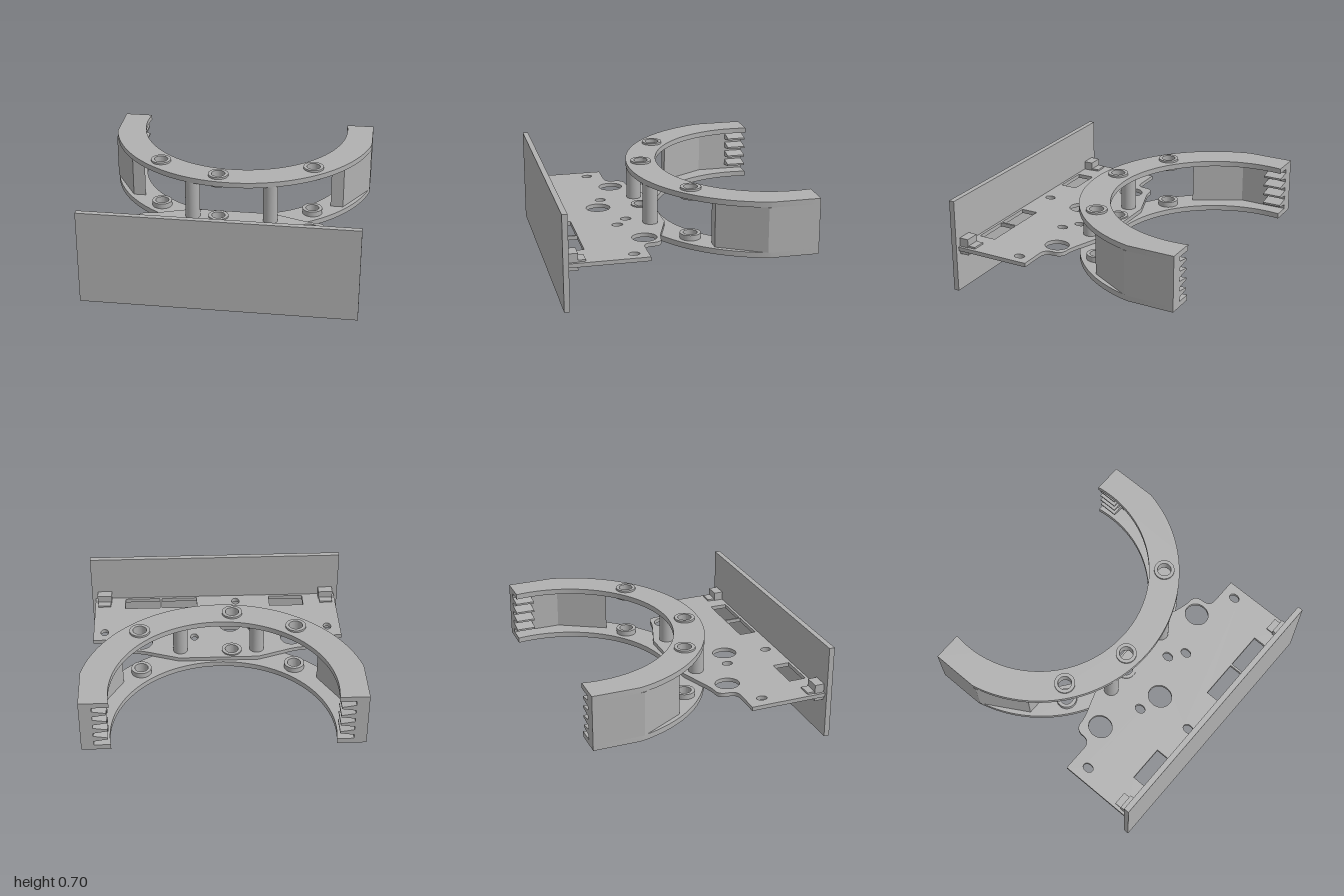
import * as THREE from 'three';
import { toCreasedNormals } from 'three/addons/utils/BufferGeometryUtils.js';

const grey = new THREE.MeshStandardMaterial({ color: 0xb0b0b0 });
grey.name = 'plain grey';

export function createModel() {
  const model = new THREE.Group();
  model.name = 'ringMount';

  const add = (name, geometry) => {
    const mesh = new THREE.Mesh(geometry, grey);
    mesh.name = name;
    model.add(mesh);
    return mesh;
  };
  const box = (name, x0, x1, y0, y1, z0, z1) =>
    add(name, new THREE.BoxGeometry(x1 - x0, y1 - y0, z1 - z0))
      .position.set((x0 + x1) / 2, (y0 + y1) / 2, (z0 + z1) / 2);

  // Horizontal slab from a plan outline drawn with (x, -z)
  const slab = (name, shape, y0, y1) => {
    const g = new THREE.ExtrudeGeometry(shape, { depth: y1 - y0, bevelEnabled: false, curveSegments: 48 });
    g.rotateX(-Math.PI / 2);
    g.translate(0, y0, 0);
    return add(name, toCreasedNormals(g, 0.5));
  };
  const oval = (x, z, rx, rz) => new THREE.Path().absellipse(x, -z, rx, rz, 0, Math.PI * 2, false, 0);
  const plan = (points) => new THREE.Shape(points.map(([x, z]) => new THREE.Vector2(x, -z)));

  // Two C-shaped ring plates
  const bushings = [[-0.56, -0.06], [-0.1, 0.13], [0.585, -0.08]];
  const ringShape = () => {
    const s = new THREE.Shape();
    const a = Math.asin(0.225 / 1.025), b = Math.asin(0.12 / 0.8);
    s.moveTo(-1, 0.9);
    s.lineTo(-1, 0.555);
    s.absarc(0, 0.78, 1.025, Math.PI + a, 2 * Math.PI - a, false);
    s.lineTo(1, 0.9);
    s.absarc(0, 0.78, 0.8, b, -Math.PI - b, true);
    s.closePath();
    bushings.forEach(([x, z]) => s.holes.push(oval(x, z, 0.05, 0.05)));
    return s;
  };
  slab('lowerRing', ringShape(), 0.27, 0.31);
  slab('upperRing', ringShape(), 0.64, 0.68);

  // Hollow bushings in both rings
  for (const [x, z] of bushings) {
    for (const [name, y0, y1] of [['lowerBushing', 0.31, 0.35], ['upperBushing', 0.615, 0.695]]) {
      const s = new THREE.Shape().absarc(x, -z, 0.075, 0, Math.PI * 2, false);
      s.holes.push(oval(x, z, 0.05, 0.05));
      slab(name, s, y0, y1);
    }
  }

  // Two posts between base plate and upper ring
  for (const x of [-0.29, 0.29]) {
    add('post', new THREE.CylinderGeometry(0.055, 0.055, 0.31, 40)).position.set(x, 0.488, 0.145);
  }

  for (const side of [-1, 1]) {
    // Bent side wall joining the ring ends
    slab('sideWall', plan([
      [1, -0.9], [1, -0.53], [0.81, -0.2], [0.716, -0.2], [0.91, -0.54], [0.91, -0.9],
    ].map(([x, z]) => [x * side, z])), 0.31, 0.64);

    // Four tapered teeth on the inside of each ring end
    for (let i = 0; i < 4; i++) {
      const y = 0.365 + i * 0.073;
      const s = new THREE.Shape([[0.915, -0.024], [0.915, 0.024], [0.81, 0.007], [0.81, -0.007]]
        .map(([x, dy]) => new THREE.Vector2(x * side, y + dy)));
      const tooth = new THREE.ExtrudeGeometry(s, { depth: 0.14, bevelEnabled: false });
      tooth.translate(0, 0, -0.9);
      add('gripTooth', tooth);
    }

    // Stepped clip that fixes the panel to the base plate
    const cx = side * 0.885;
    box('panelClip', cx - 0.056, cx + 0.056, 0.28, 0.405, 0.79, 0.86);
    box('clipTongue', cx - 0.05, cx + 0.05, 0.335, 0.353, 0.735, 0.79);
  }

  // Base plate with rounded shoulders and cut-outs
  const base = new THREE.Shape();
  base.moveTo(-0.96, -0.86);
  base.lineTo(0.96, -0.86);
  base.lineTo(0.96, -0.29);
  base.lineTo(0.76, -0.29);
  base.quadraticCurveTo(0.7, -0.285, 0.7, -0.22);
  base.quadraticCurveTo(0.7, -0.145, 0.63, -0.145);
  base.quadraticCurveTo(0.58, -0.14, 0.5, -0.11);
  base.lineTo(0.3, -0.04);
  base.lineTo(-0.3, -0.04);
  base.lineTo(-0.5, -0.11);
  base.quadraticCurveTo(-0.58, -0.14, -0.63, -0.145);
  base.quadraticCurveTo(-0.7, -0.145, -0.7, -0.22);
  base.quadraticCurveTo(-0.7, -0.285, -0.76, -0.29);
  base.lineTo(-0.96, -0.29);
  base.closePath();
  base.holes.push(oval(-0.1, 0.13, 0.05, 0.05));
  for (const [x, z] of [[-0.565, 0.275], [0.585, 0.255], [-0.1, 0.46]]) {
    base.holes.push(oval(x, z, 0.082, 0.09));
  }
  for (const [x, z] of [[-0.86, 0.41], [-0.27, 0.41], [0.18, 0.305], [0.29, 0.39], [0.875, 0.39], [-0.16, 0.78]]) {
    base.holes.push(oval(x, z, 0.03, 0.04));
  }
  for (const [x0, x1] of [[-0.7, -0.43], [0.15, 0.43], [0.445, 0.72]]) {
    base.holes.push(plan([[x0, 0.71], [x1, 0.71], [x1, 0.84], [x0, 0.84]]));
  }
  slab('basePlate', base, 0.31, 0.34);

  // Upright front panel
  box('frontPanel', -0.987, 0.987, 0, 0.705, 0.86, 0.9);

  return model;
}
